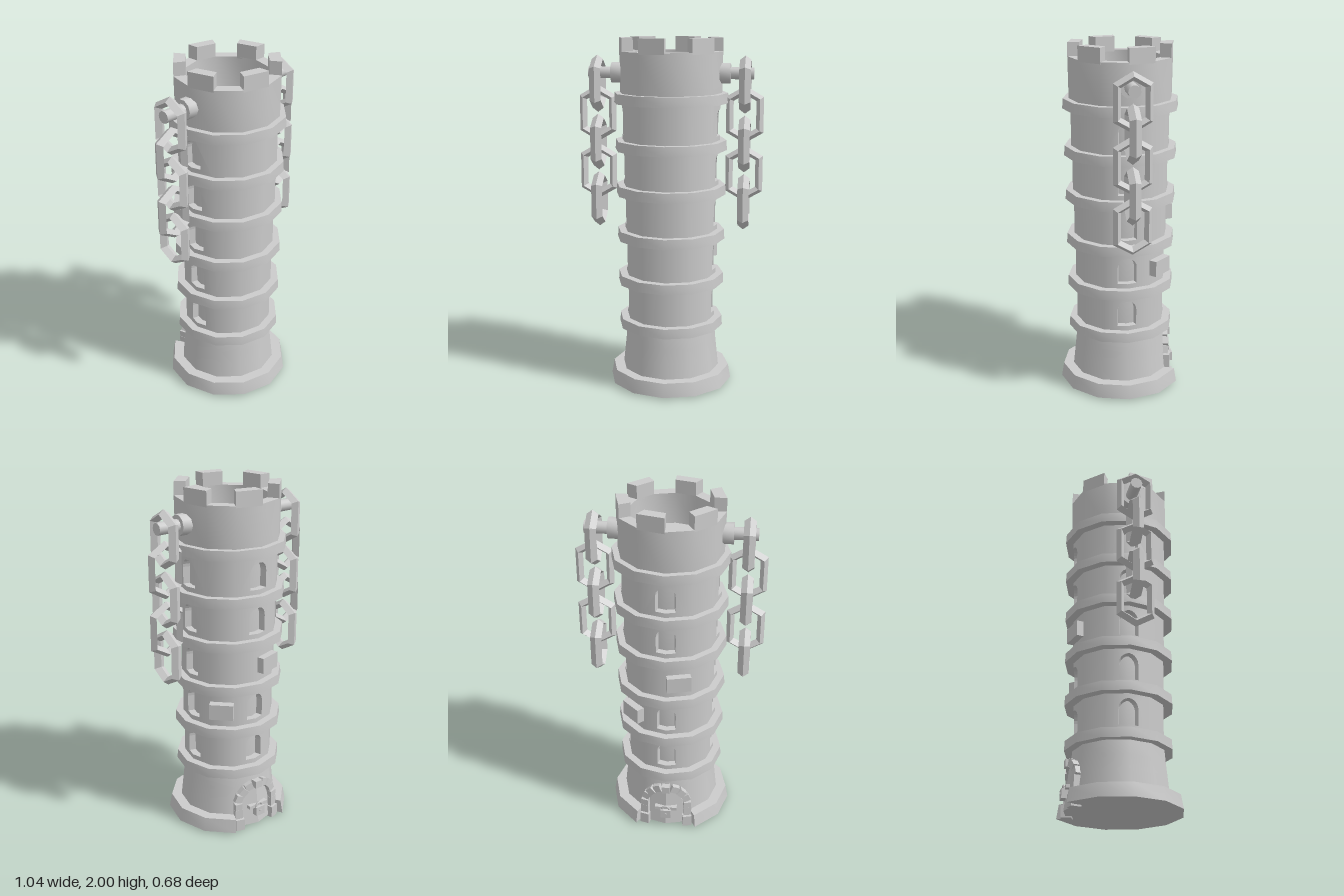
import * as THREE from 'three';
import { mergeGeometries, toCreasedNormals } from 'three/addons/utils/BufferGeometryUtils.js';

const SIDES = 12, STEP = Math.PI / 6, ZC = -0.012;
const rad = THREE.MathUtils.degToRad;
const V = (x, y) => new THREE.Vector2(x, y);
const stone = new THREE.MeshStandardMaterial({ color: 0xcccccc });
const flat = new THREE.MeshStandardMaterial({ color: 0xcccccc, flatShading: true });
const thin = new THREE.MeshStandardMaterial({ color: 0xcccccc, flatShading: true, side: THREE.DoubleSide });

function add(parent, name, geo, mat = stone) {
  const m = new THREE.Mesh(geo, mat);
  m.name = name;
  parent.add(m);
  return m;
}

// Twelve-sided turned part, smooth around and sharp at its rims
function turned(points, start = 0, count = SIDES) {
  const g = new THREE.LatheGeometry(points.map(p => V(...p)), count, start, count * STEP);
  return toCreasedNormals(g, 0.6);
}

// One wall facet; notch = +1/-1 cuts half an arched window from that edge, 0 leaves it plain
function facet(az, R, y0, y1, notch) {
  const w = 2 * R * Math.sin(STEP / 2), ap = R * Math.cos(STEP / 2), depth = 0.045;
  const s = notch || 1, e = s * w / 2, hw = 0.056, sill = y0 + 0.027, spring = sill + 0.094;
  const pts = [V(-e, y0 - 0.03), V(e, y0 - 0.03)];
  if (notch) {
    pts.push(V(e, sill), V(e - s * hw, sill));
    for (let i = 0; i <= 5; i++) {
      const t = i / 5 * Math.PI / 2;
      pts.push(V(e - s * hw * Math.cos(t), spring + hw * Math.sin(t)));
    }
  }
  pts.push(V(e, y1 + 0.03), V(-e, y1 + 0.03));
  const g = new THREE.ExtrudeGeometry(new THREE.Shape(pts), { depth, bevelEnabled: false });
  g.translate(0, 0, ap - depth);
  // outer face gets rounded normals
  const p = g.attributes.position, n = g.attributes.normal, v = new THREE.Vector3();
  for (let i = 0; i < p.count; i++) {
    if (n.getZ(i) < 0.9) continue;
    v.set(p.getX(i), 0, p.getZ(i)).normalize();
    n.setXYZ(i, v.x, v.y, v.z);
  }
  return g.rotateY(rad(az));
}

// Stretched hexagonal chain link with a diamond section, standing in the xy plane
function linkGeometry() {
  const g = new THREE.TorusGeometry(0.097, 0.024, 4, 6);
  g.rotateZ(Math.PI / 6).scale(1, 1, 1.33);
  const p = g.attributes.position;
  for (let i = 0; i < p.count; i++) p.setY(i, p.getY(i) + Math.sign(p.getY(i)) * 0.04);
  return g;
}

// Radius of the flared foot at a height
const footRadius = y => 0.292 - 0.036 * Math.min(1, y / 0.34);

function buildDoor() {
  const door = new THREE.Group();
  door.name = 'door';
  door.rotation.y = Math.PI; // local +z points to the back
  const fold = Math.tan(STEP / 2);
  const surface = (x, y) => footRadius(y) - Math.abs(x) * fold;

  // two leaves following the folded wall
  for (const s of [-1, 1]) {
    const pts = [V(0, 0.01), V(s * 0.1, 0.01), V(s * 0.1, 0.14)];
    for (let i = 1; i <= 5; i++) {
      const t = i / 5 * Math.PI / 2;
      pts.push(V(s * 0.1 * Math.cos(t), 0.14 + 0.1 * Math.sin(t)));
    }
    const g = new THREE.ExtrudeGeometry(new THREE.Shape(pts), { depth: 0.03, bevelEnabled: false });
    const p = g.attributes.position;
    for (let i = 0; i < p.count; i++)
      p.setZ(i, p.getZ(i) - 0.024 + surface(p.getX(i), p.getY(i)));
    g.computeVertexNormals();
    add(door, 'doorLeaf', g, flat);
  }

  // jamb and arch stones
  const block = (x, y, w, h, turn, lift) => {
    const m = add(door, 'doorStone', new THREE.BoxGeometry(w, h, 0.06), flat);
    m.position.set(x, y, surface(x, y) + lift - 0.025);
    m.rotation.set(0, Math.sign(Math.round(x * 1000)) * STEP / 2, turn, 'YXZ');
  };
  for (const s of [-1, 1])
    [0.035, 0.1].forEach((y, i) => block(s * 0.122, y, 0.046 + 0.008 * (1 - i), i ? 0.056 : 0.07, 0, 0.024 + 0.006 * (1 - i)));
  for (let i = 0; i < 9; i++) {
    const a = Math.PI * i / 8, lift = i % 2 ? 0.022 : 0.028;
    block(0.122 * Math.cos(a), 0.145 + 0.122 * Math.sin(a), 0.044, 0.045, a, lift);
  }

  // padlock and crossbar
  add(door, 'crossbar', new THREE.BoxGeometry(0.13, 0.02, 0.05), flat).position.set(0, 0.128, 0.272);
  add(door, 'lockBody', new THREE.BoxGeometry(0.06, 0.055, 0.04), flat).position.set(0, 0.098, 0.295);
  add(door, 'lockShackle', new THREE.TorusGeometry(0.021, 0.007, 6, 10, Math.PI)).position.set(0, 0.125, 0.299);
  const hole = add(door, 'keyhole', new THREE.CylinderGeometry(0.008, 0.008, 0.006, 8), flat);
  hole.rotation.x = Math.PI / 2;
  hole.position.set(0, 0.1, 0.317);
  return door;
}

function buildChain(side) {
  const chain = new THREE.Group();
  chain.name = side > 0 ? 'leftChain' : 'rightChain';
  const peg = (name, r, x0, x1) => {
    const m = add(chain, name, toCreasedNormals(new THREE.CylinderGeometry(r, r, x1 - x0, 10), 0.7));
    m.rotation.z = Math.PI / 2;
    m.position.set(side * (x0 + x1) / 2, 1.805, 0);
  };
  peg('pegBoss', 0.058, 0.25, 0.335);
  peg('peg', 0.034, 0.3, 0.465);
  const geo = linkGeometry();
  for (let i = 0; i < 5; i++) {
    const link = add(chain, 'chainLink', geo, flat);
    link.position.set(side * 0.417, 1.742 - 0.166 * i, 0);
    link.rotation.y = i % 2 ? 0 : Math.PI / 2;
  }
  return chain;
}

export function createModel() {
  const model = new THREE.Group();
  model.name = 'tower';
  const tower = new THREE.Group();
  tower.name = 'towerBody';
  tower.position.z = ZC;
  model.add(tower);

  // plinth, open at the back for the door
  const plinth = [[0.2, 0.01], [0.356, 0.01], [0.342, 0.09], [0.2, 0.09]];
  add(tower, 'plinth', turned(plinth, rad(210), 10));
  for (const az of [150, 210]) {
    const end = new THREE.ShapeGeometry(new THREE.Shape(plinth.map(p => V(...p))));
    add(tower, 'plinthEnd', end, thin).rotation.y = rad(az - 90);
  }

  // flared foot
  const foot = [0.01, 0.09, 0.18, 0.26, 0.36].map(y => [footRadius(y), y]);
  add(tower, 'foot', turned([[0, 0.01], ...foot]));

  // storeys with arched windows on the back and both sides, banded by rings
  const ringY = [0.34, 0.6, 0.86, 1.12, 1.375, 1.64];
  const ringR = [0.303, 0.308, 0.311, 0.315, 0.319, 0.325];
  const wallR = [0.256, 0.261, 0.267, 0.273, 0.279];
  ringY.forEach((y, i) =>
    add(tower, 'ring', turned([[0.2, y], [ringR[i], y], [ringR[i] - 0.003, y + 0.056], [0.2, y + 0.056]])));
  wallR.forEach((R, i) => {
    const y0 = ringY[i] + 0.056, y1 = ringY[i + 1], parts = [];
    const windows = i === 2 ? [90, 270] : [90, 180, 270];
    for (let k = 0; k < SIDES; k++) {
      const az = 15 + 30 * k;
      const notch = windows.includes(az + 15) ? 1 : windows.includes(az - 15) ? -1 : 0;
      parts.push(facet(az, R, y0, y1, notch));
    }
    add(tower, 'storeyWall', mergeGeometries(parts));
    add(tower, 'windowBacking', turned([[R - 0.04, y0 - 0.03], [R - 0.04, y1 + 0.03]]));
  });

  // hollow crown
  add(tower, 'crown', turned([[0.2, 1.66], [0.288, 1.66], [0.292, 1.925], [0.226, 1.925], [0.226, 1.75], [0, 1.75]]));

  // six battlements, each filling every second side
  for (let k = 0; k < 6; k++) {
    const a = rad(30 + 60 * k), b = a + STEP;
    const at = (r, t) => V(r * Math.sin(t), -r * Math.cos(t));
    const shape = new THREE.Shape([at(0.226, a), at(0.292, a), at(0.292, b), at(0.226, b)]);
    const g = new THREE.ExtrudeGeometry(shape, { depth: 0.085, bevelEnabled: false }).rotateX(-Math.PI / 2);
    add(tower, 'battlement', g, flat).position.y = 1.915;
  }

  // plain wall plates
  for (const [az, y] of [[195, 1.015], [135, 0.76]]) {
    const plate = add(tower, 'wallPlate', new THREE.BoxGeometry(0.135, 0.09, 0.06), flat);
    plate.position.set(Math.sin(rad(az)) * 0.268, y, Math.cos(rad(az)) * 0.268);
    plate.rotation.y = rad(az);
  }

  tower.add(buildDoor(), buildChain(1), buildChain(-1));
  return model;
}
